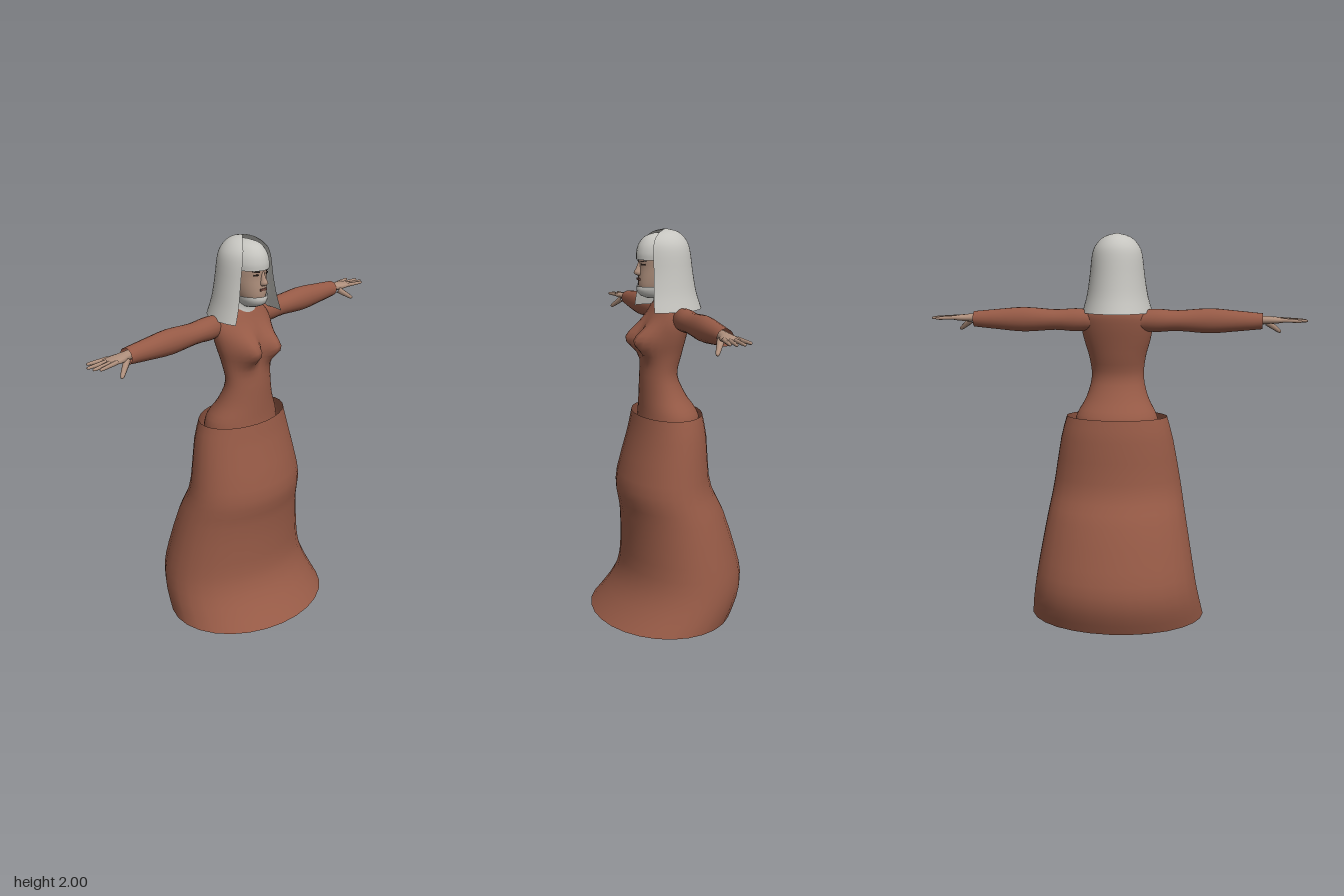
import * as THREE from 'three';

const mat = (name, color, side = THREE.FrontSide) => {
  const m = new THREE.MeshStandardMaterial({ color, side });
  m.name = name;
  return m;
};

// Smooth skin through rows [length, halfWidth, front, back]; a gap leaves an opening at the front
function loft(rows, { seg = 24, sub = 4, capStart = false, capEnd = false, gap = null, power = 1, tweak = null } = {}) {
  const curve = (k) => new THREE.CatmullRomCurve3(rows.map((r) => new THREE.Vector3(r[0], r[1], r[k])), false, 'catmullrom', 0.5);
  const front = curve(2), back = curve(3);
  const n = (rows.length - 1) * sub;
  const rings = [];
  for (let i = 0; i <= n; i++) {
    const f = front.getPoint(i / n), b = back.getPoint(i / n);
    const mid = (f.z + b.z) / 2, depth = (f.z - b.z) / 2;
    const g = gap ? gap(i / n) : 0;
    const ring = [];
    for (let j = 0; j < seg + (gap ? 1 : 0); j++) {
      const a = g + (j / seg) * (Math.PI * 2 - 2 * g);
      const s = Math.sin(a), c = Math.cos(a);
      const p = new THREE.Vector3(
        f.y * Math.sign(s) * Math.abs(s) ** power, f.x, mid + depth * Math.sign(c) * Math.abs(c) ** power);
      if (tweak) tweak(p, i / n);
      ring.push(p);
    }
    rings.push(ring);
  }
  const collapsed = (ring) => {
    const c = ring.reduce((t, p) => t.add(p), new THREE.Vector3()).divideScalar(ring.length);
    return ring.map(() => c.clone());
  };
  if (capStart) rings.unshift(collapsed(rings[0]));
  if (capEnd) rings.push(collapsed(rings[rings.length - 1]));
  const w = rings[0].length, index = [];
  for (let i = 0; i < rings.length - 1; i++) {
    for (let j = 0; j < seg; j++) {
      const k = (j + 1) % w, a = i * w, b = a + w;
      index.push(a + j, a + k, b + k, a + j, b + k, b + j);
    }
  }
  const geo = new THREE.BufferGeometry().setFromPoints(rings.flat());
  geo.setIndex(index);
  geo.computeVertexNormals();
  return geo;
}

// Tapered rod between two points
function rod(a, b, ra, rb) {
  const A = new THREE.Vector3(...a), B = new THREE.Vector3(...b);
  const len = A.distanceTo(B);
  const geo = loft([[0, ra, ra, -ra], [len * 0.5, (ra + rb) / 2, (ra + rb) / 2, -(ra + rb) / 2],
    [len * 0.92, rb, rb, -rb], [len, rb * 0.4, rb * 0.4, -rb * 0.4]], { seg: 8, sub: 2, capEnd: true });
  const q = new THREE.Quaternion().setFromUnitVectors(new THREE.Vector3(0, 1, 0), B.sub(A).normalize());
  return geo.applyQuaternion(q).translate(...a);
}

function mirrored(geo) {
  const g = geo.clone().scale(-1, 1, 1);
  const ix = g.index.array;
  for (let i = 0; i < ix.length; i += 3) [ix[i], ix[i + 1]] = [ix[i + 1], ix[i]];
  return g;
}

export function createModel() {
  const model = new THREE.Group();
  model.name = 'womanInLongDress';
  const dress = mat('russet cloth', 0x965a46, THREE.DoubleSide);
  const linen = mat('pale linen', 0xc6c5c0, THREE.DoubleSide);
  const skin = mat('skin', 0xae8f7c);
  const hose = mat('grey hose', 0x99968f);
  const leather = mat('brown leather', 0x4d3f2c);
  const dark = mat('dark features', 0x2b211c);
  const lips = mat('lips', 0x7d4f44);

  const add = (name, geo, material) => {
    const mesh = new THREE.Mesh(geo, material);
    mesh.name = name;
    model.add(mesh);
  };
  const pair = (name, geo, material) => {
    add(name + 'Left', geo, material);
    add(name + 'Right', mirrored(geo), material);
  };

  // Long open skirt, pushed back behind and flared forward at the hem
  add('skirt', loft([
    [0.08, 0.44, 0.38, -0.32], [0.18, 0.423, 0.29, -0.362], [0.28, 0.405, 0.235, -0.376],
    [0.4, 0.385, 0.218, -0.35], [0.6, 0.35, 0.222, -0.285], [0.7, 0.332, 0.24, -0.235],
    [0.8, 0.315, 0.235, -0.205], [1.0, 0.28, 0.18, -0.192], [1.11, 0.25, 0.158, -0.172],
  ], { seg: 28, sub: 2 }), dress);

  // Bodice with the bust raised by a rule
  add('bodice', loft([
    [1.06, 0.21, 0.135, -0.165], [1.12, 0.198, 0.13, -0.15], [1.2, 0.155, 0.128, -0.095],
    [1.3, 0.13, 0.125, -0.053], [1.4, 0.14, 0.115, -0.073], [1.48, 0.162, 0.11, -0.092],
    [1.55, 0.175, 0.1, -0.108], [1.61, 0.168, 0.07, -0.115], [1.65, 0.125, 0.05, -0.1], [1.675, 0.065, 0.04, -0.075],
  ], { seg: 36, sub: 3, tweak: (p) => {
    if (p.z < 0.02) return;
    const bump = Math.exp(-(((Math.abs(p.x) - 0.072) / 0.05) ** 2) - ((p.y - 1.475) / 0.065) ** 2);
    p.z += 0.085 * bump * Math.min(1, (p.z - 0.02) / 0.05);
  } }), dress);

  // Sleeves, open at the cuff
  pair('sleeve', loft([
    [0.12, 0.05, 0.01, -0.085], [0.2, 0.056, 0.02, -0.09], [0.3, 0.05, 0.02, -0.086],
    [0.45, 0.06, 0.022, -0.085], [0.58, 0.05, 0.018, -0.077], [0.705, 0.038, 0.01, -0.068],
  ], { seg: 18, sub: 3 }).rotateZ(-Math.PI / 2).translate(0, 1.585, 0), dress);

  // Hands: palm, four fingers and a thumb
  pair('palm', loft([
    [0.66, 0.024, 0.0, -0.052], [0.71, 0.02, 0.003, -0.052], [0.75, 0.018, 0.018, -0.06],
    [0.79, 0.014, 0.022, -0.065], [0.82, 0.009, 0.018, -0.06],
  ], { seg: 12, sub: 2, capStart: true, capEnd: true }).rotateZ(-Math.PI / 2).translate(0, 1.59, 0), skin);
  [[0.013, 0.895, 0.026], [-0.008, 0.915, 0.004], [-0.03, 0.92, -0.03], [-0.052, 0.89, -0.07]].forEach(([z0, x, z1], i) => {
    pair('finger' + (i + 1), rod([0.79, 1.592, z0], [x, 1.588, z1], 0.0105, 0.007), skin);
  });
  pair('thumb', rod([0.725, 1.58, 0.0], [0.795, 1.528, 0.043], 0.017, 0.009), skin);

  // Hips and legs beneath the skirt
  add('hips', loft([[0.88, 0.14, 0.07, -0.1], [0.98, 0.195, 0.11, -0.145], [1.06, 0.203, 0.125, -0.155], [1.13, 0.185, 0.12, -0.13]],
    { capStart: true, capEnd: true }), hose);
  pair('leg', loft([
    [0.06, 0.038, 0.02, -0.06], [0.15, 0.038, 0.02, -0.06], [0.33, 0.056, 0.035, -0.085],
    [0.52, 0.052, 0.05, -0.06], [0.75, 0.075, 0.07, -0.085], [0.98, 0.09, 0.085, -0.105],
  ], { seg: 16, sub: 3, tweak: (p, t) => { p.x += 0.14 - 0.045 * t; } }), hose);

  // Shoes, turned out slightly
  pair('shoe', loft([
    [-0.11, 0.032, -0.004, -0.07], [-0.08, 0.046, 0, -0.09], [-0.02, 0.046, 0, -0.1], [0.04, 0.048, 0, -0.08],
    [0.09, 0.058, 0, -0.062], [0.14, 0.05, 0, -0.048], [0.17, 0.022, -0.006, -0.034],
  ], { seg: 18, sub: 2, power: 0.75, capStart: true, capEnd: true })
    .rotateX(Math.PI / 2).rotateY(0.1).translate(0.137, 0, 0), leather);

  // Neck cloth and chin band
  add('neckCloth', loft([[1.63, 0.1, 0.055, -0.09], [1.67, 0.075, 0.055, -0.075], [1.72, 0.062, 0.07, -0.07], [1.77, 0.065, 0.08, -0.07]]), linen);
  add('chinBand', loft([[1.675, 0.035, 0.095, 0.0], [1.69, 0.052, 0.128, -0.02], [1.712, 0.064, 0.142, -0.035], [1.732, 0.07, 0.141, -0.045]],
    { capStart: true }), linen);

  // Head and face
  add('head', loft([
    [1.69, 0.035, 0.105, 0.0], [1.72, 0.057, 0.13, -0.03], [1.76, 0.071, 0.134, -0.06],
    [1.82, 0.082, 0.13, -0.085], [1.88, 0.085, 0.132, -0.09], [1.94, 0.065, 0.1, -0.07],
  ], { capStart: true, capEnd: true }), skin);
  add('nose', loft([[1.782, 0.012, 0.138, 0.11], [1.795, 0.018, 0.158, 0.11], [1.815, 0.012, 0.148, 0.11], [1.85, 0.008, 0.133, 0.11]],
    { seg: 10, sub: 2, capStart: true, capEnd: true }), skin);
  pair('ear', new THREE.SphereGeometry(0.022, 10, 8).scale(0.4, 1.2, 0.7).translate(0.085, 1.825, 0.02), skin);
  const plate = (w, h, x, y, z, turn, tilt = 0) =>
    new THREE.BoxGeometry(w, h, 0.006).rotateZ(tilt).rotateY(turn).translate(x, y, z);
  pair('eye', plate(0.026, 0.007, 0.035, 1.836, 0.12, 0.5), dark);
  pair('eyebrow', plate(0.034, 0.005, 0.036, 1.852, 0.121, 0.5, 0.12), dark);
  add('mouth', plate(0.04, 0.01, 0, 1.765, 0.134, 0), lips);

  // Close cap over the forehead
  add('cap', loft([
    [1.858, 0.092, 0.143, -0.1], [1.89, 0.093, 0.142, -0.1], [1.93, 0.082, 0.13, -0.09],
    [1.965, 0.055, 0.1, -0.06], [1.982, 0.015, 0.05, -0.01],
  ], { capEnd: true }), linen);

  // Veil, open at the front and meeting at the crown
  add('veil', loft([
    [1.62, 0.172, 0.225, -0.178], [1.7, 0.15, 0.19, -0.152], [1.8, 0.134, 0.16, -0.134],
    [1.9, 0.122, 0.142, -0.12], [1.95, 0.1, 0.122, -0.1], [1.985, 0.06, 0.07, -0.062], [2.0, 0.004, 0.004, -0.006],
  ], { seg: 28, sub: 3, gap: (t) => THREE.MathUtils.degToRad(66 - 14 * Math.min(1, t * 2)) }), linen);

  return model;
}
